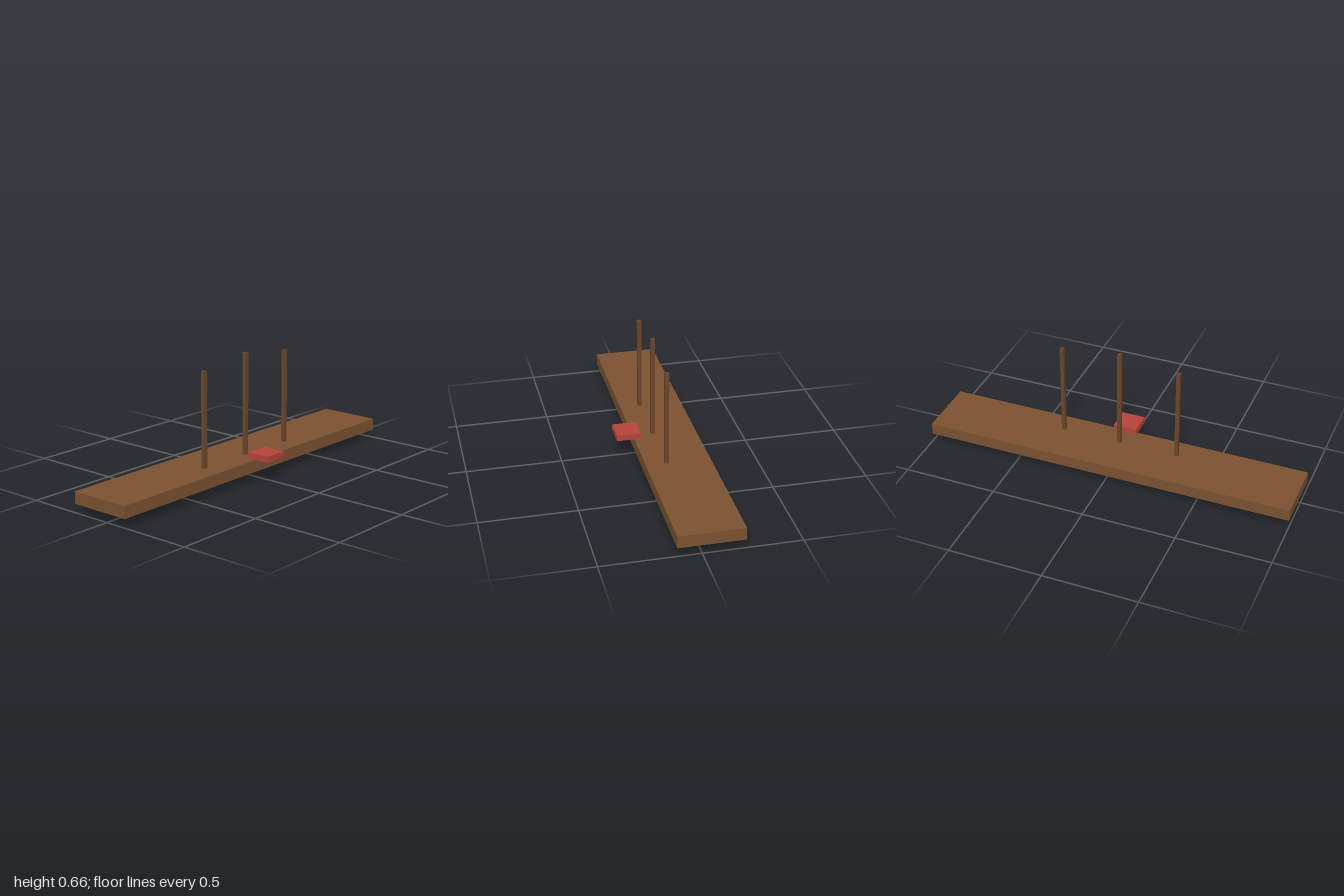
import * as THREE from 'three';

export function createModel() {
  const model = new THREE.Group();
  const paint = (color) => new THREE.MeshStandardMaterial({ color });
  const plankWood = paint(0x7a5230);
  const postWood = paint(0x6b452b);
  const red = paint(0xb5443a);

  // Box given by its lower and upper corners
  function block(name, material, [x0, y0, z0], [x1, y1, z1]) {
    const mesh = new THREE.Mesh(new THREE.BoxGeometry(x1 - x0, y1 - y0, z1 - z0), material);
    mesh.position.set((x0 + x1) / 2, (y0 + y1) / 2, (z0 + z1) / 2);
    mesh.name = name;
    model.add(mesh);
  }

  // Long plank
  block('plank', plankWood, [-1, 0.045, -0.216], [1, 0.109, 0.121]);

  // Three slim posts through the plank, the middle one longer
  const posts = [
    ['rightPost', -0.32, 0.041, 0.616],
    ['middlePost', 0, 0, 0.656],
    ['leftPost', 0.32, 0.041, 0.616],
  ];
  for (const [name, x, bottom, top] of posts) {
    block(name, postWood, [x - 0.01, bottom, 0.002], [x + 0.01, top, 0.023]);
  }

  // Red tile floating over the front edge
  block('redTile', red, [-0.064, 0.117, 0.089], [0.064, 0.149, 0.216]);

  return model;
}
